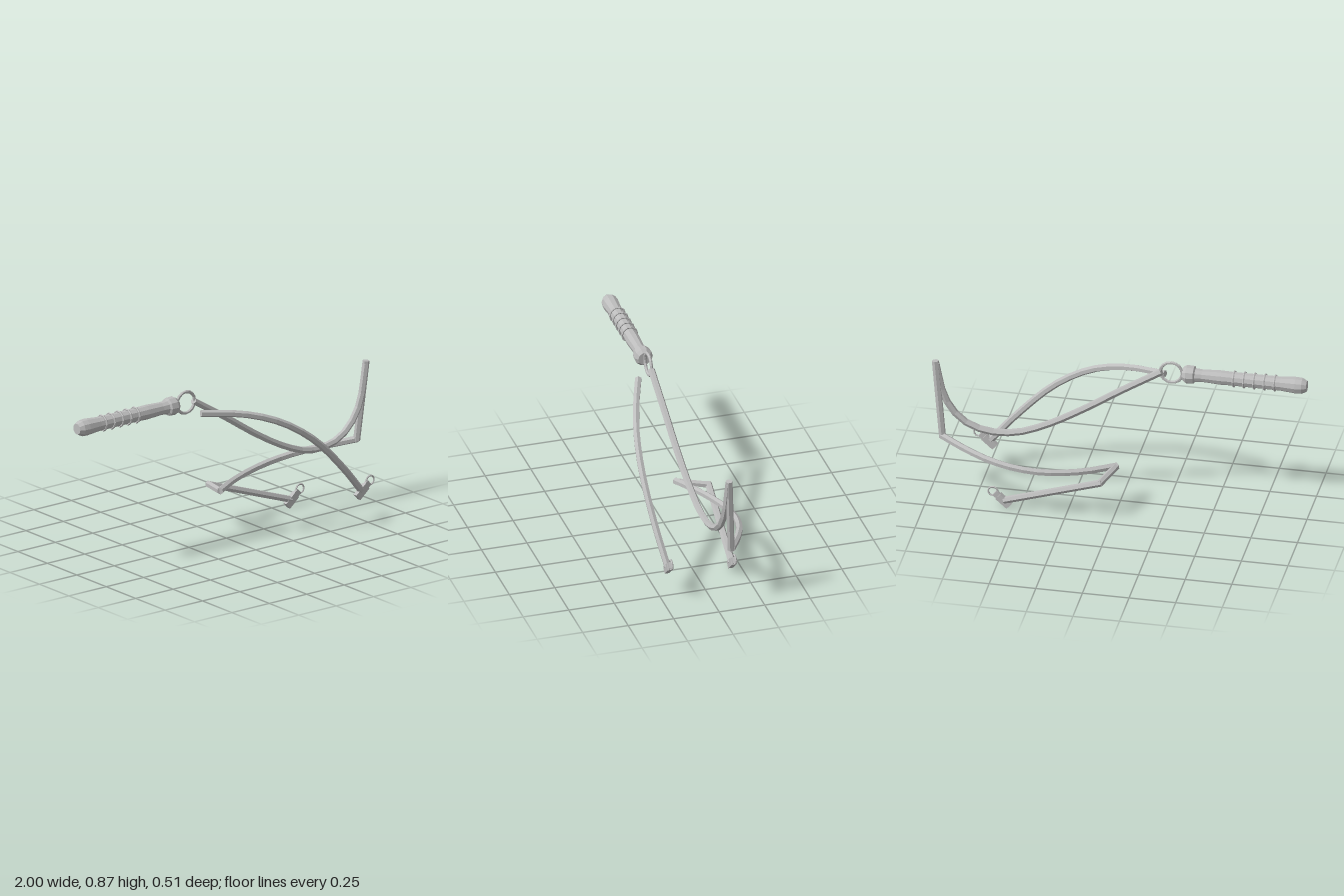
import * as THREE from 'three';

export function createModel() {
  const model = new THREE.Group();
  const steel = new THREE.MeshStandardMaterial({ color: 0xbcbcbc, flatShading: true });
  steel.name = 'lightGrey';

  const add = (name, geometry, parent = model) => {
    const mesh = new THREE.Mesh(geometry, steel);
    mesh.name = name;
    parent.add(mesh);
    return mesh;
  };

  // Grip, turned around the x axis
  const axisY = 0.807;
  const profile = [
    [0, -1], [0.03, -1], [0.043, -0.975], [0.045, -0.94], [0.038, -0.86], [0.037, -0.6],
    [0.039, -0.54], [0.034, -0.44], [0.037, -0.402], [0.048, -0.395], [0.05, -0.355],
    [0.036, -0.335], [0, -0.335],
  ].map(([r, x]) => new THREE.Vector2(r, x));
  const grip = add('grip', new THREE.LatheGeometry(profile, 10));
  grip.rotation.z = -Math.PI / 2;
  grip.position.y = axisY;

  // Raised bands around the grip
  for (let i = 0; i < 5; i++) {
    const band = add('gripBand', new THREE.TorusGeometry(0.041, 0.006, 5, 10));
    band.rotation.y = Math.PI / 2;
    band.position.set(-0.83 + i * 0.055, axisY, 0);
  }

  // Ring at the end of the grip
  add('gripRing', new THREE.TorusGeometry(0.059, 0.009, 6, 16)).position.set(-0.272, axisY, 0);

  // Capped hexagonal strap along a smooth curve
  const radius = 0.019;
  function strap(name, points, segments) {
    const curve = new THREE.CatmullRomCurve3(points.map(p => new THREE.Vector3(...p)));
    const group = new THREE.Group();
    group.name = name;
    model.add(group);
    const tube = new THREE.TubeGeometry(curve, segments, radius, 6);
    add(name + 'Body', tube, group);
    for (const end of [0, 1]) {
      // Cap fans reuse the end ring of the tube
      const pos = tube.attributes.position, start = end * segments * 7;
      const c = curve.getPoint(end), coords = [];
      const corner = i => new THREE.Vector3().fromBufferAttribute(pos, start + i);
      const outward = curve.getTangent(end).multiplyScalar(end ? 1 : -1);
      for (let i = 0; i < 6; i++) {
        let a = corner(i), b = corner(i + 1);
        const n = a.clone().sub(c).cross(b.clone().sub(c));
        if (n.dot(outward) < 0) [a, b] = [b, a];
        coords.push(...c.toArray(), ...a.toArray(), ...b.toArray());
      }
      const cap = new THREE.BufferGeometry();
      cap.setAttribute('position', new THREE.Float32BufferAttribute(coords, 3));
      cap.computeVertexNormals();
      add(name + 'Cap', cap, group);
    }
  }

  // Main strap sweeping down from the ring and up to the loop
  strap('mainStrap', [
    [-0.22, 0.805, 0], [0, 0.668, -0.007], [0.195, 0.54, -0.014], [0.382, 0.433, -0.022],
    [0.543, 0.369, -0.029], [0.676, 0.358, -0.034], [0.783, 0.385, -0.04],
    [0.865, 0.444, -0.046], [0.932, 0.55, -0.051], [0.977, 0.75, -0.058],
  ], 20);

  // Folded strap: upright, back curve, short link and lower run
  strap('foldedStrapUpright', [[0.981, 0.768, -0.06], [0.937, 0.328, -0.085]], 1);
  strap('foldedStrapCurve', [
    [0.944, 0.336, -0.085], [0.8, 0.311, -0.16], [0.65, 0.288, -0.218], [0.5, 0.268, -0.238],
    [0.35, 0.253, -0.222], [0.17, 0.245, -0.158], [0.005, 0.245, -0.062],
  ], 14);
  strap('foldedStrapLink', [[0.009, 0.243, -0.062], [0.067, 0.225, -0.236]], 1);
  strap('foldedStrapLower', [[0.055, 0.229, -0.229], [0.585, 0.045, -0.196]], 1);

  // Loose strap at the front
  strap('looseStrap', [
    [-0.225, 0.755, 0.07], [0, 0.725, 0.15], [0.2, 0.655, 0.207], [0.4, 0.525, 0.234],
    [0.6, 0.328, 0.226], [0.74, 0.168, 0.204],
  ], 14);

  // End clips: block, narrow neck and small ring
  function clip(name, x, y, z) {
    const group = new THREE.Group();
    group.name = name;
    group.position.set(x, y, z);
    group.rotation.z = 0.72;
    model.add(group);
    add('clipBlock', new THREE.BoxGeometry(0.08, 0.04, 0.026), group);
    add('clipNeck', new THREE.BoxGeometry(0.03, 0.034, 0.016), group).position.x = 0.05;
    add('clipRing', new THREE.TorusGeometry(0.026, 0.005, 5, 12), group).position.x = 0.077;
  }
  clip('looseClip', 0.743, 0.16, 0.203);
  clip('foldedClip', 0.586, 0.042, -0.194);

  return model;
}
